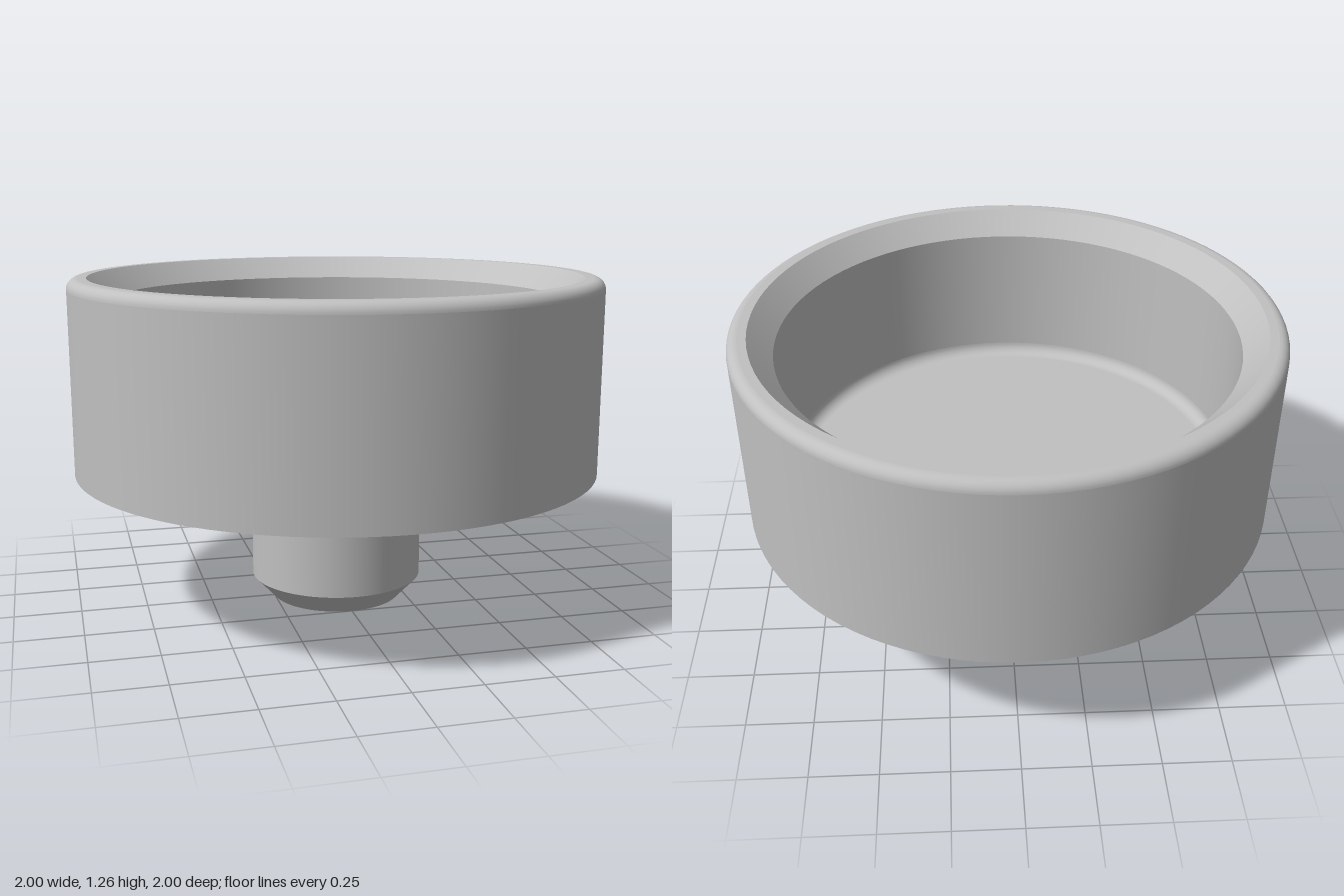
import * as THREE from 'three';
import { mergeGeometries } from 'three/addons/utils/BufferGeometryUtils.js';

const SEGMENTS = 96;

// Straight profile section, as [radius, height] pairs
const line = (...pts) => pts.map(([r, y]) => new THREE.Vector2(r, y));

// Quarter-round profile section, angles in quarter turns
const arc = (cx, cy, radius, from, to, steps = 8) =>
  Array.from({ length: steps + 1 }, (_, i) => {
    const a = (from + (to - from) * (i / steps)) * Math.PI / 2;
    return new THREE.Vector2(cx + radius * Math.cos(a), cy + radius * Math.sin(a));
  });

// Each section is turned separately so the edges between them stay crisp
function turned(name, material, sections) {
  const parts = sections.map((s) => new THREE.LatheGeometry(s, SEGMENTS));
  const mesh = new THREE.Mesh(mergeGeometries(parts), material);
  mesh.name = name;
  return mesh;
}

export function createModel() {
  const group = new THREE.Group();
  group.name = 'cupWithStem';
  const grey = new THREE.MeshStandardMaterial({ color: 0xc0c0c0 });
  grey.name = 'plain grey';

  // Stem with a chamfered foot and a fillet under the cup
  group.add(turned('stem', grey, [
    line([0, 0], [0.25, 0]),
    line([0.25, 0], [0.33, 0.085]),
    line([0.33, 0.085], [0.33, 0.49]),
    arc(0.37, 0.49, 0.04, 2, 1),
  ]));

  // Cup underside, outer wall and rounded lip
  group.add(turned('cupOuter', grey, [
    line([0.37, 0.53], [1, 0.53]),
    line([1, 0.53], [1, 1.22]),
    arc(0.96, 1.22, 0.04, 0, 1),
    line([0.96, 1.26], [0.927, 1.26]),
  ]));

  // Chamfered mouth, inner wall, filleted floor
  group.add(turned('cupInner', grey, [
    line([0.927, 1.26], [0.843, 1.175]),
    line([0.843, 1.175], [0.843, 0.66]),
    arc(0.798, 0.66, 0.045, 0, -1),
    line([0.798, 0.615], [0, 0.615]),
  ]));

  return group;
}
